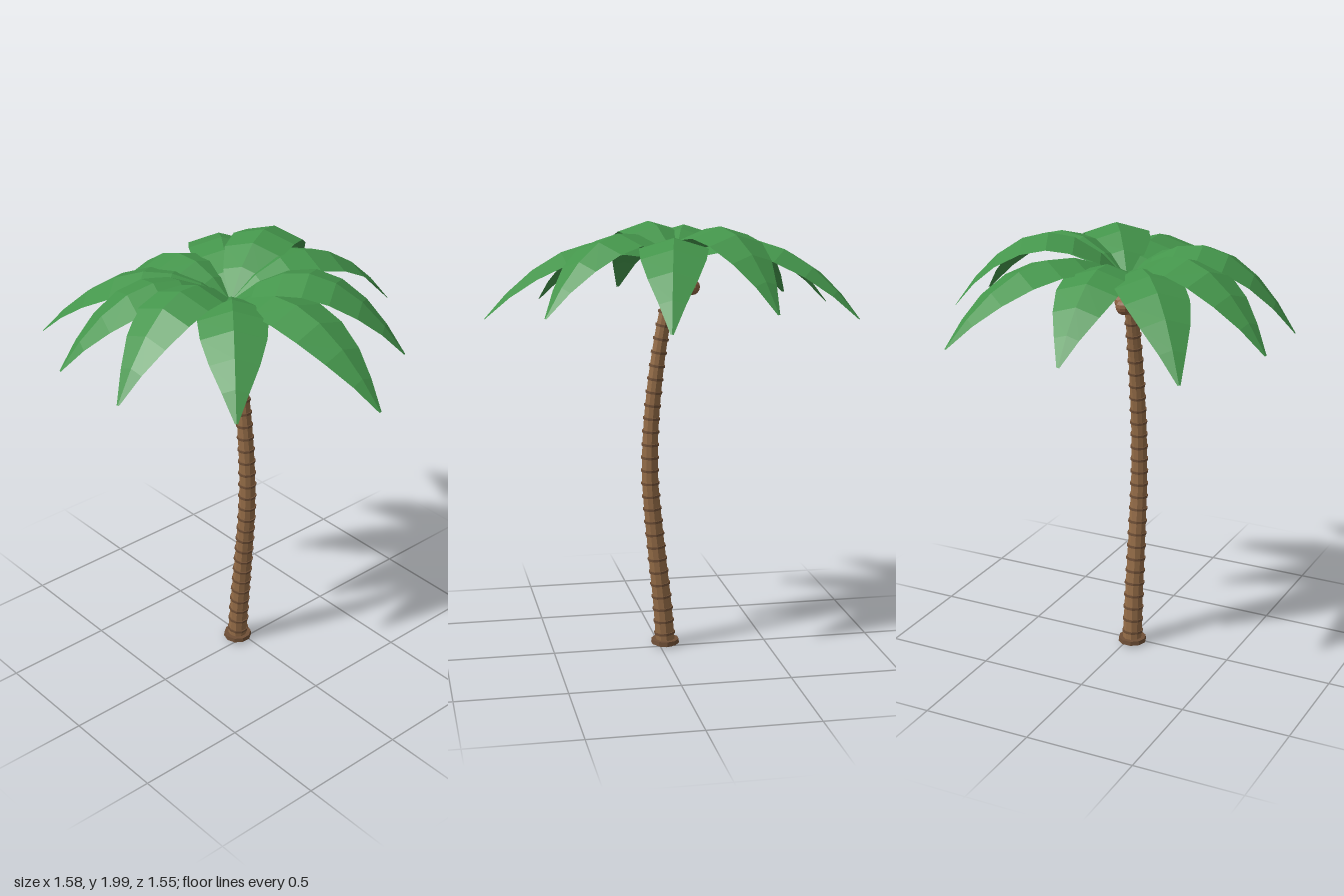
import * as THREE from 'three';

const bark = new THREE.MeshStandardMaterial({ name: 'bark brown', color: 0x946c47, flatShading: true });
const ringBrown = new THREE.MeshStandardMaterial({ name: 'dark ring brown', color: 0x6f4f36, flatShading: true });
const nutBrown = new THREE.MeshStandardMaterial({ name: 'nut brown', color: 0x8c6040, flatShading: true });
const leaf = new THREE.MeshStandardMaterial({ name: 'leaf green', color: 0x44954b, flatShading: true, side: THREE.DoubleSide });

// Centre line of the leaning trunk
const TRUNK_Z = 0.026, TRUNK_TOP = 1.78;
const path = new THREE.CatmullRomCurve3([
  [-0.03, 0], [-0.015, 0.2], [0.006, 0.4], [0.026, 0.6], [0.042, 0.8], [0.041, 1.0],
  [0.026, 1.2], [0.001, 1.4], [-0.034, 1.6], [-0.072, TRUNK_TOP],
].map(([x, y]) => new THREE.Vector3(x, y, TRUNK_Z)));
const trunkRadius = (t) => 0.045 - 0.017 * t;

// Frond half-width along its length
const widths = [[0, 0.006], [0.15, 0.09], [0.3, 0.137], [0.45, 0.148], [0.6, 0.138], [0.75, 0.104], [0.88, 0.056], [1, 0.006]];

// Tip x, y, z and the height at mid-length of each frond
const fronds = [
  [0.10, 1.61, -0.78, 1.94], [-0.37, 1.66, -0.67, 1.985], [-0.78, 1.60, -0.47, 1.91],
  [-0.79, 1.60, 0.065, 1.90], [-0.72, 1.58, 0.565, 1.89], [-0.31, 1.61, 0.765, 1.93],
  [0.07, 1.60, 0.75, 1.95], [0.49, 1.59, 0.475, 1.89], [0.79, 1.58, -0.04, 1.89],
  [0.565, 1.63, -0.41, 1.95],
];

function add(group, name, geometry, material) {
  const mesh = new THREE.Mesh(geometry, material);
  mesh.name = name;
  group.add(mesh);
  return mesh;
}

// Arching roof-shaped blade running from the crown to its tip
function frondGeometry([tx, ty, tz, midY]) {
  const base = new THREE.Vector3(-0.072, 1.785, 0.022);
  const dx = tx - base.x, dz = tz - base.z, len = Math.hypot(dx, dz);
  const sx = -dz / len, sz = dx / len;
  const a = 4 * midY - 3 * base.y - ty, b = 2 * (base.y + ty - 2 * midY);
  const pos = [], index = [];
  widths.forEach(([t, w], i) => {
    const y = base.y + a * t + b * t * t;
    for (const s of [-1, 0, 1]) {
      pos.push(base.x + dx * t + sx * w * s, y - Math.abs(s) * w * 0.3, base.z + dz * t + sz * w * s);
    }
    if (i === 0) return;
    for (const k of [0, 1]) {
      const p = (i - 1) * 3 + k, q = i * 3 + k;
      index.push(p, p + 1, q, p + 1, q + 1, q);
    }
  });
  const g = new THREE.BufferGeometry();
  g.setAttribute('position', new THREE.Float32BufferAttribute(pos, 3));
  g.setIndex(index);
  const flat = g.toNonIndexed();
  // Make the front side the upper one
  flat.computeVertexNormals();
  if (flat.attributes.normal.getY(0) < 0) {
    index.reverse();
    g.setIndex(index);
    const flipped = g.toNonIndexed();
    flipped.computeVertexNormals();
    return flipped;
  }
  return flat;
}

export function createModel() {
  const model = new THREE.Group();
  model.name = 'palmTree';

  // Trunk: a cylinder bent along the path
  const trunk = new THREE.CylinderGeometry(1, 1, 1, 10, 28);
  const p = trunk.attributes.position;
  for (let i = 0; i < p.count; i++) {
    const t = THREE.MathUtils.clamp(p.getY(i) + 0.5, 0, 1);
    const c = path.getPoint(t), r = trunkRadius(t);
    p.setXYZ(i, c.x + p.getX(i) * r, c.y, c.z + p.getZ(i) * r);
  }
  trunk.computeVertexNormals();
  add(model, 'trunk', trunk, bark);

  // Growth rings
  const rings = new THREE.Group();
  rings.name = 'trunkRings';
  model.add(rings);
  const up = new THREE.Vector3(0, 1, 0);
  for (let i = 1; i <= 28; i++) {
    const t = i * 0.06 / TRUNK_TOP;
    const r = trunkRadius(t) + 0.005;
    const ring = add(rings, 'trunkRing', new THREE.CylinderGeometry(r, r, 0.011, 10), ringBrown);
    ring.position.copy(path.getPoint(t));
    ring.quaternion.setFromUnitVectors(up, path.getTangent(t).normalize());
  }

  // Foot collar
  const foot = add(model, 'footCollar', new THREE.CylinderGeometry(0.064, 0.066, 0.02, 10), ringBrown);
  foot.position.set(-0.028, 0.02, TRUNK_Z);
  const sole = add(model, 'trunkFoot', new THREE.CylinderGeometry(0.046, 0.046, 0.02, 10), ringBrown);
  sole.position.set(-0.028, 0.01, TRUNK_Z);

  // Coconuts
  for (const [x, y, z] of [[-0.155, 1.685, 0.045], [-0.065, 1.695, 0.07], [-0.075, 1.68, 0.0]]) {
    add(model, 'coconut', new THREE.SphereGeometry(0.036, 10, 8), nutBrown).position.set(x, y, z);
  }

  // Crown
  const crown = new THREE.Group();
  crown.name = 'crown';
  model.add(crown);
  for (const f of fronds) add(crown, 'frond', frondGeometry(f), leaf);

  return model;
}
